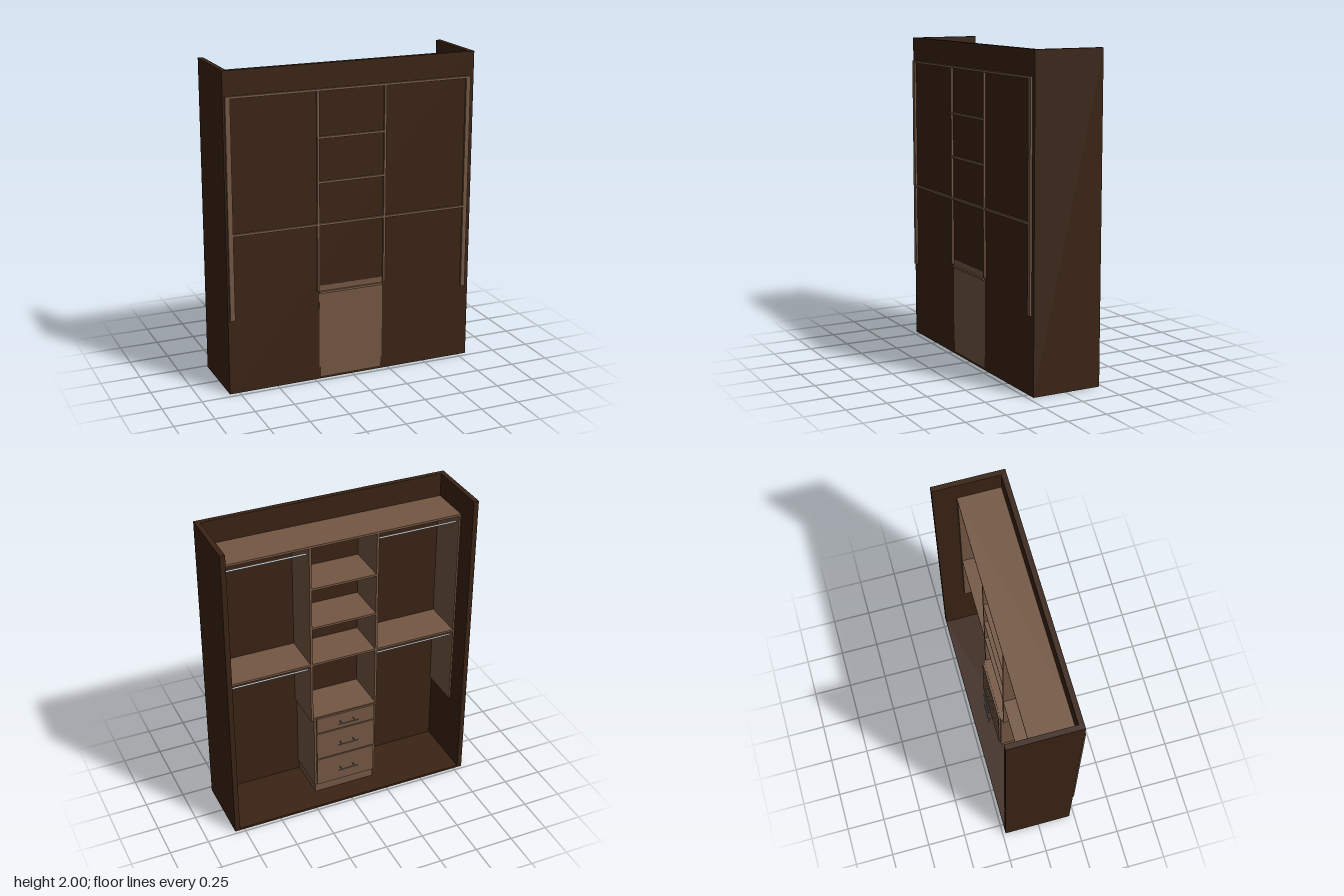
import * as THREE from 'three';

const wallMat = new THREE.MeshStandardMaterial({ color: 0x3a2314 });
const woodMat = new THREE.MeshStandardMaterial({ color: 0x745743 });
const metalMat = new THREE.MeshStandardMaterial({ color: 0xb0b4b8 });
const handleMat = new THREE.MeshStandardMaterial({ color: 0x5a5a5a });

// Box given by its limits on each axis
function slab(parent, name, mat, [x0, x1], [y0, y1], [z0, z1]) {
  const mesh = new THREE.Mesh(new THREE.BoxGeometry(x1 - x0, y1 - y0, z1 - z0), mat);
  mesh.position.set((x0 + x1) / 2, (y0 + y1) / 2, (z0 + z1) / 2);
  mesh.name = name;
  parent.add(mesh);
  return mesh;
}

// Round bar along x or z
function bar(parent, name, mat, axis, length, radius, x, y, z) {
  const geo = new THREE.CylinderGeometry(radius, radius, length, 16);
  if (axis === 'x') geo.rotateZ(Math.PI / 2);
  else geo.rotateX(Math.PI / 2);
  const mesh = new THREE.Mesh(geo, mat);
  mesh.position.set(x, y, z);
  mesh.name = name;
  parent.add(mesh);
}

export function createModel() {
  const model = new THREE.Group();
  model.name = 'wardrobeAlcove';

  // Alcove: floor, two side walls and the wall behind the shelves
  const alcove = new THREE.Group();
  alcove.name = 'alcove';
  model.add(alcove);
  slab(alcove, 'floor', wallMat, [-0.78, 0.78], [0, 0.015], [-0.23, 0.185]);
  slab(alcove, 'backWall', wallMat, [-0.78, 0.78], [0, 2], [0.185, 0.217]);
  for (const s of [-1, 1]) {
    const inner = s * 0.78, outer = s * 0.812;
    slab(alcove, 'sideWall', wallMat, [Math.min(inner, outer), Math.max(inner, outer)], [0, 2], [-0.23, 0.217]);
  }

  // Shelving frame, let into the wall
  const shelving = new THREE.Group();
  shelving.name = 'shelving';
  model.add(shelving);
  const depth = [-0.085, 0.23];
  slab(shelving, 'topShelf', woodMat, [-0.8, 0.785], [1.836, 1.85], depth);
  slab(shelving, 'sidePanel', woodMat, [-0.8, -0.77], [0.48, 1.836], depth);
  slab(shelving, 'sidePanel', woodMat, [0.757, 0.785], [0.48, 1.836], depth);
  slab(shelving, 'divider', woodMat, [-0.234, -0.22], [0.588, 1.836], depth);
  slab(shelving, 'divider', woodMat, [0.205, 0.219], [0.588, 1.836], depth);
  for (const y of [1.015, 1.28, 1.555]) {
    slab(shelving, 'centreShelf', woodMat, [-0.22, 0.205], [y - 0.007, y + 0.007], depth);
  }

  // Outer bays: a shelf and two hanging rails each
  for (const [x0, x1] of [[-0.77, -0.234], [0.219, 0.757]]) {
    slab(shelving, 'sideShelf', woodMat, [x0, x1], [1.008, 1.022], depth);
    for (const y of [0.96, 1.78]) {
      bar(shelving, 'hangingRail', metalMat, 'x', x1 - x0, 0.006, (x0 + x1) / 2, y, -0.04);
    }
  }

  // Drawer cabinet on a plinth
  const cabinet = new THREE.Group();
  cabinet.name = 'drawerCabinet';
  model.add(cabinet);
  slab(cabinet, 'cabinetBody', woodMat, [-0.221, 0.206], [0.08, 0.62], [-0.098, 0.2175]);
  slab(cabinet, 'cabinetRail', woodMat, [-0.22, 0.205], [0.57, 0.584], [0.1, 0.23]);
  slab(cabinet, 'plinth', woodMat, [-0.212, 0.198], [0.015, 0.08], [-0.09, 0.2175]);

  // Drawers with bar handles
  for (const [y0, y1] of [[0.085, 0.285], [0.293, 0.492], [0.5, 0.612]]) {
    const drawer = new THREE.Group();
    drawer.name = 'drawer';
    cabinet.add(drawer);
    slab(drawer, 'drawerFront', woodMat, [-0.207, 0.192], [y0, y1], [-0.11, -0.098]);
    const y = (y0 + y1) / 2;
    bar(drawer, 'handleBar', handleMat, 'x', 0.14, 0.004, -0.013, y, -0.143);
    for (const x of [-0.058, 0.032]) bar(drawer, 'handlePost', handleMat, 'z', 0.033, 0.003, x, y, -0.1265);
  }
  return model;
}
